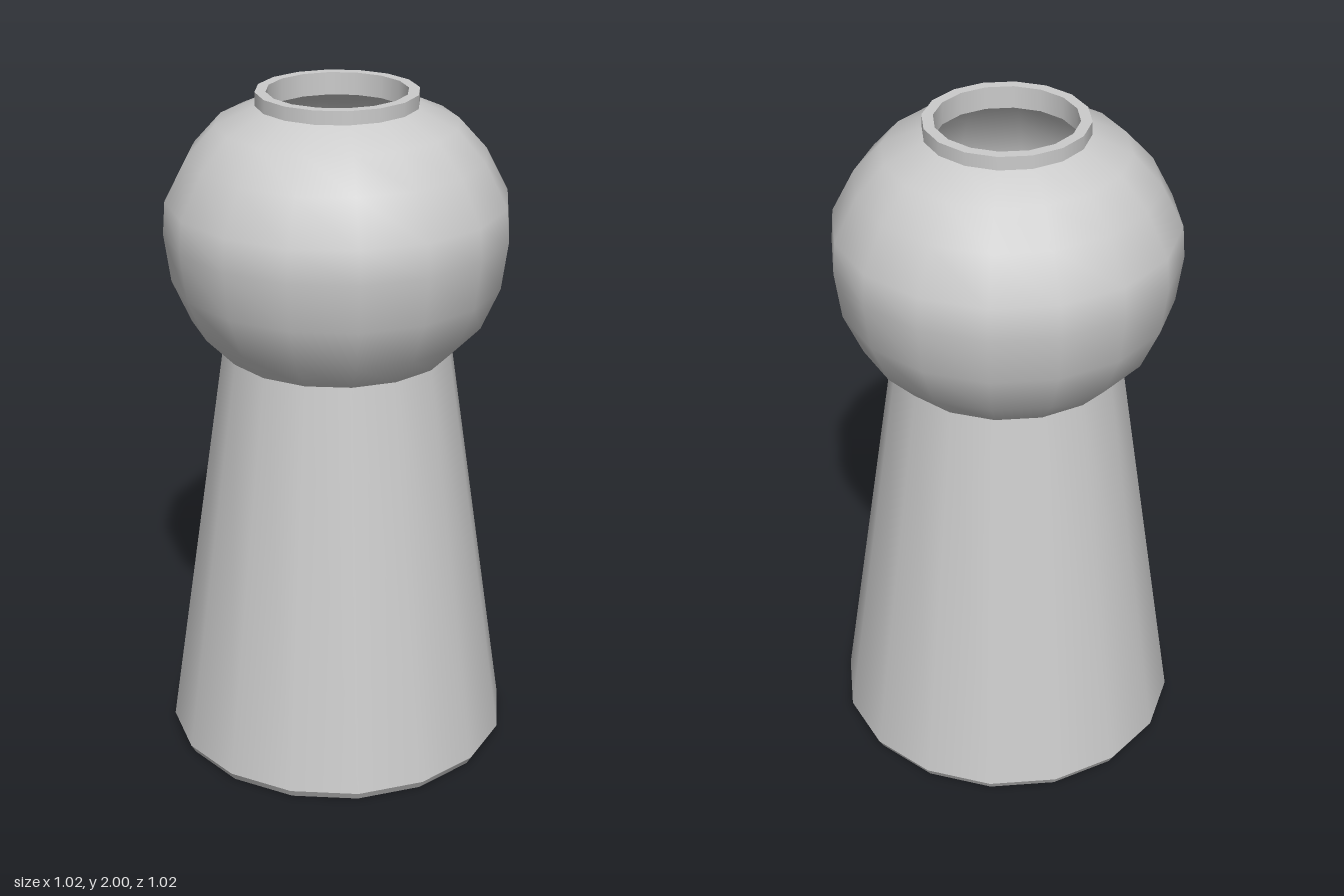
import * as THREE from 'three';

const SIDES = 16;

export function createModel() {
  const group = new THREE.Group();
  const material = new THREE.MeshStandardMaterial({ color: 0xcccccc });

  // Each section is its own lathe, so edges between sections stay sharp.
  const addSection = (name, profile) => {
    const points = profile.map(([r, y]) => new THREE.Vector2(r, y));
    const mesh = new THREE.Mesh(new THREE.LatheGeometry(points, SIDES), material);
    mesh.name = name;
    group.add(mesh);
  };

  // Outside, from the underside up to the lip
  addSection('underside', [[0, 0], [0.497, 0]]);
  addSection('baseBevel', [[0.497, 0], [0.512, 0.026]]);
  addSection('taperedBody', [[0.512, 0.026], [0.335, 1.245]]);
  addSection('bulb', [
    [0.335, 1.245], [0.422, 1.335], [0.477, 1.46], [0.496, 1.6],
    [0.489, 1.695], [0.425, 1.82], [0.344, 1.91], [0.231, 1.961],
  ]);
  addSection('collar', [[0.231, 1.961], [0.231, 2]]);
  addSection('lip', [[0.231, 2], [0.2, 2]]);

  // Hollow inside, from the lip down to the floor
  addSection('innerCollar', [[0.2, 2], [0.2, 1.935]]);
  addSection('innerBulb', [
    [0.2, 1.935], [0.325, 1.882], [0.4, 1.8], [0.459, 1.685],
    [0.466, 1.6], [0.448, 1.47], [0.396, 1.352], [0.303, 1.255],
  ]);
  addSection('innerBody', [[0.303, 1.255], [0.478, 0.03]]);
  addSection('innerFloor', [[0.478, 0.03], [0, 0.03]]);

  return group;
}
